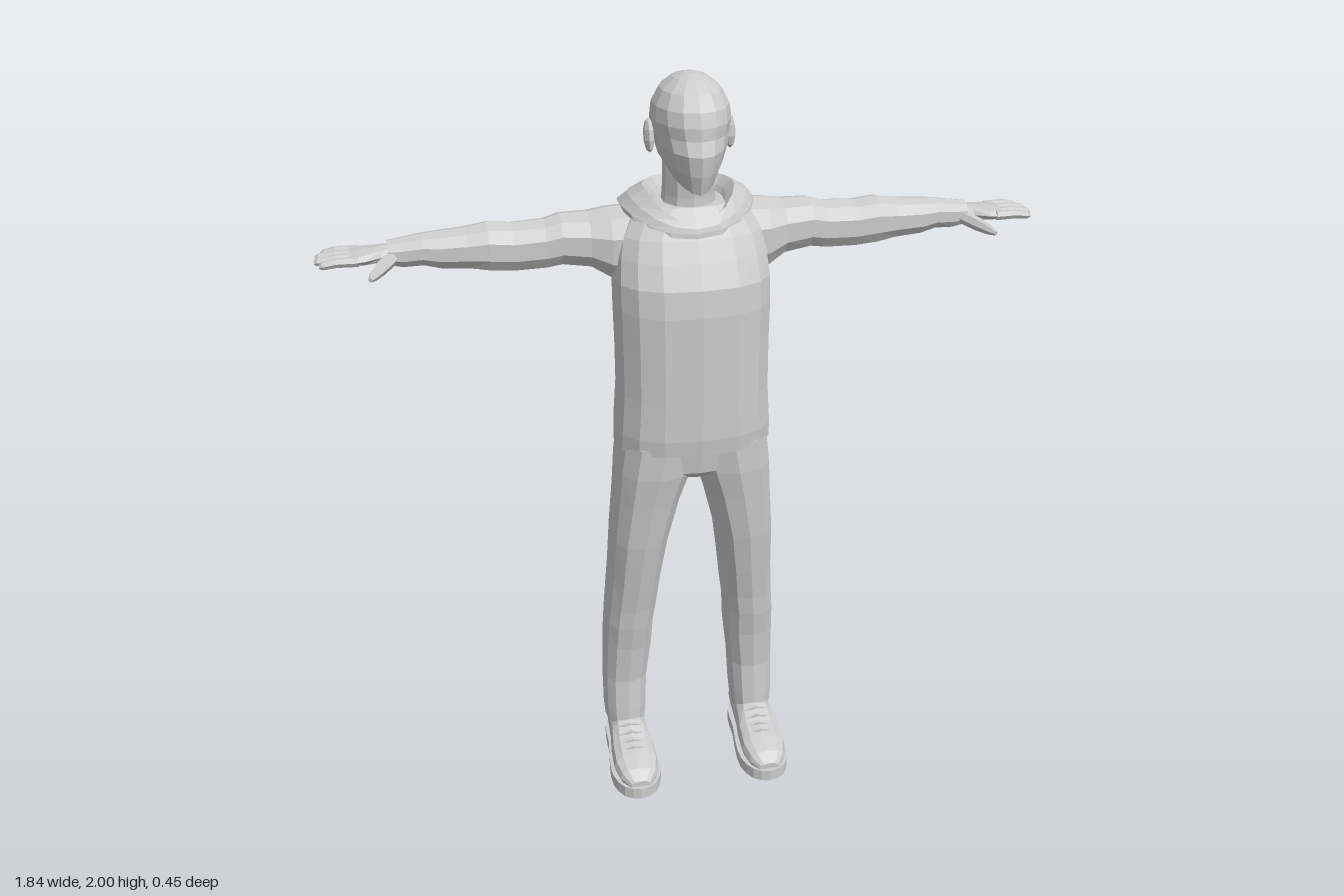
import * as THREE from 'three';

const grey = new THREE.MeshStandardMaterial({ color: 0xcccccc, flatShading: true });
grey.name = 'plain grey';

const pow = (v, p) => Math.sign(v) * Math.abs(v) ** p;

// Skin a list of equal-length rings (counter-clockwise seen from the far end), closing both ends.
function loft(rings) {
  const n = rings[0].length, pos = [];
  const tri = (...v) => v.forEach((p) => pos.push(p.x, p.y, p.z));
  const middle = (r) => r.reduce((s, p) => s.add(p), new THREE.Vector3()).divideScalar(n);
  const first = middle(rings[0]), last = middle(rings.at(-1));
  for (let j = 0; j < n; j++) {
    const k = (j + 1) % n;
    for (let i = 0; i + 1 < rings.length; i++) {
      const a = rings[i], b = rings[i + 1];
      tri(a[j], a[k], b[k]);
      tri(a[j], b[k], b[j]);
    }
    tri(first, rings[0][k], rings[0][j]);
    tri(last, rings.at(-1)[j], rings.at(-1)[k]);
  }
  const g = new THREE.BufferGeometry();
  g.setAttribute('position', new THREE.Float32BufferAttribute(pos, 3));
  g.computeVertexNormals();
  return g;
}

const around = (n, point) =>
  Array.from({ length: n }, (_, j) => {
    const a = (j / n) * Math.PI * 2;
    return new THREE.Vector3(...point(Math.cos(a), Math.sin(a)));
  });

// Upright body section: [y, xMin, xMax, zFront, zBack]
const upright = (n, p, rows) => loft(rows.map(([y, x0, x1, zF, zB]) => around(n, (c, s) => [
  (x0 + x1) / 2 + (x1 - x0) / 2 * pow(s, p), y, (zF + zB) / 2 + (zF - zB) / 2 * pow(c, p)])));

// Section along the arm: [x, yMin, yMax, zBack, zFront]
const sideways = (n, p, rows) => loft(rows.map(([x, y0, y1, zB, zF]) => around(n, (c, s) => [
  x, (y0 + y1) / 2 + (y1 - y0) / 2 * pow(c, p), (zB + zF) / 2 + (zF - zB) / 2 * pow(s, p)])));

// Thin round limb through a few points with a radius at each
function rod(points, radii, n = 6) {
  const pts = points.map((p) => new THREE.Vector3(...p));
  return loft(pts.map((p, i) => {
    const t = pts[Math.min(i + 1, pts.length - 1)].clone().sub(pts[Math.max(i - 1, 0)]).normalize();
    const u = new THREE.Vector3(0, 1, 0).cross(t).normalize(), v = t.clone().cross(u);
    return around(n, (c, s) => p.clone().addScaledVector(u, c * radii[i]).addScaledVector(v, s * radii[i]).toArray());
  }));
}

// Mirror across x = 0, keeping faces outward
function mirrored(geo) {
  const g = geo.index ? geo.toNonIndexed() : geo.clone();
  const p = g.attributes.position;
  const read = (i) => new THREE.Vector3().fromBufferAttribute(p, i);
  for (let i = 0; i < p.count; i += 3) {
    const [a, b, c] = [read(i), read(i + 1), read(i + 2)];
    [a, c, b].forEach((v, k) => p.setXYZ(i + k, -v.x, v.y, v.z));
  }
  g.computeVertexNormals();
  return g;
}

export function createModel() {
  const model = new THREE.Group();
  model.name = 'figure';
  const add = (name, geo) => {
    const m = new THREE.Mesh(geo, grey);
    m.name = name;
    model.add(m);
  };
  const pair = (name, geo) => {
    add(name + 'Left', geo);
    add(name + 'Right', mirrored(geo));
  };

  // Head: [y, half width, zFront, zBack, front tilt, narrowing of the face]
  add('head', loft([
    [1.765, 0.03, 0.09, -0.05, -0.03, 0.3], [1.768, 0.058, 0.122, -0.085, -0.035, 0.3],
    [1.80, 0.076, 0.136, -0.097, -0.02, 0.25], [1.84, 0.088, 0.143, -0.108, -0.01, 0.2],
    [1.865, 0.093, 0.129, -0.114, 0, 0.15], [1.895, 0.097, 0.128, -0.118, 0, 0.08],
    [1.93, 0.093, 0.117, -0.114, 0, 0.05], [1.965, 0.074, 0.09, -0.096, 0, 0],
    [1.99, 0.042, 0.05, -0.06, 0, 0], [2.0, 0.014, 0.016, -0.022, 0, 0],
  ].map(([y, w, zF, zB, tilt, k]) => around(14, (c, s) => [
    w * s * (1 - k * c), y + tilt * c, (zF + zB) / 2 + (zF - zB) / 2 * pow(c, 0.9)]))));
  const ear = new THREE.SphereGeometry(1, 7, 5).scale(0.014, 0.042, 0.025);
  pair('ear', ear.rotateX(-0.2).translate(0.1, 1.85, -0.01));
  add('neck', upright(10, 1, [
    [1.60, -0.08, 0.08, 0.05, -0.11], [1.70, -0.066, 0.066, 0.045, -0.095], [1.82, -0.064, 0.064, 0.05, -0.09]]));

  // Sweater body with a hem lip
  add('sweaterBody', upright(16, 0.78, [
    [1.06, 0.19, 0.14, -0.13], [1.045, 0.208, 0.152, -0.143], [1.09, 0.208, 0.158, -0.146],
    [1.2, 0.2, 0.16, -0.142], [1.33, 0.2, 0.16, -0.148], [1.43, 0.202, 0.16, -0.152],
    [1.5, 0.202, 0.152, -0.152], [1.56, 0.196, 0.122, -0.15], [1.61, 0.185, 0.095, -0.145],
    [1.65, 0.16, 0.07, -0.135], [1.68, 0.11, 0.05, -0.11],
  ].map(([y, w, zF, zB]) => [y, -w, w, zF, zB])));

  // Hood lying on the back: [half width, zFront, zBack, yFront, ySide, yBack]
  add('hood', loft([
    [0.14, 0.085, -0.13, 1.59, 1.62, 1.49], [0.165, 0.093, -0.175, 1.61, 1.655, 1.525],
    [0.172, 0.092, -0.222, 1.625, 1.672, 1.6], [0.15, 0.088, -0.185, 1.637, 1.695, 1.665],
    [0.115, 0.078, -0.135, 1.65, 1.718, 1.715], [0.095, 0.06, -0.12, 1.635, 1.695, 1.69],
    [0.07, 0.04, -0.1, 1.62, 1.65, 1.65],
  ].map(([w, zF, zB, yF, yS, yB]) => around(18, (c, s) => [
    w * pow(s, 0.9), yS + ((c > 0 ? yF : yB) - yS) * c * c, (zF + zB) / 2 + (zF - zB) / 2 * c]))));

  // Sleeves
  pair('sleeve', sideways(10, 0.88, [
    [0.10, 1.47, 1.67, -0.14, 0.05], [0.2, 1.48, 1.663, -0.142, 0.035], [0.25, 1.512, 1.652, -0.135, 0.016],
    [0.32, 1.522, 1.652, -0.125, 0.006], [0.36, 1.516, 1.641, -0.117, 0.002], [0.44, 1.514, 1.637, -0.115, 0],
    [0.5, 1.52, 1.645, -0.11, 0.002], [0.55, 1.53, 1.634, -0.113, -0.002], [0.62, 1.535, 1.628, -0.11, -0.008],
    [0.66, 1.546, 1.625, -0.102, -0.014], [0.71, 1.544, 1.618, -0.096, -0.02], [0.745, 1.552, 1.613, -0.09, -0.024]]));

  // Hands
  pair('palm', sideways(8, 0.8, [
    [0.72, 1.562, 1.605, -0.08, -0.03], [0.76, 1.565, 1.603, -0.088, -0.018],
    [0.80, 1.568, 1.6, -0.096, 0.004], [0.835, 1.571, 1.597, -0.096, 0.008]]));
  [[-0.086, -0.092, 0.905], [-0.059, -0.064, 0.918], [-0.031, -0.032, 0.92], [-0.004, -0.001, 0.908]]
    .forEach(([z0, z1, tip], i) => pair('finger' + (i + 1), rod(
      [[0.815, 1.584, z0], [0.868, 1.585, (z0 + z1) / 2], [tip - 0.008, 1.58, z1], [tip, 1.578, z1]],
      [0.013, 0.012, 0.01, 0.005])));
  pair('thumb', rod([[0.735, 1.576, -0.035], [0.762, 1.568, 0.01], [0.782, 1.562, 0.045], [0.79, 1.56, 0.064]],
    [0.018, 0.017, 0.012, 0.006]));

  // Trousers
  add('trouserSeat', upright(14, 0.75, [
    [0.95, -0.06, 0.06, 0.09, -0.09], [0.98, -0.17, 0.17, 0.125, -0.12], [1.07, -0.195, 0.195, 0.138, -0.128]]));
  pair('trouserLeg', upright(12, 0.8, [
    [0.11, 0.132, 0.246, 0.03, -0.125], [0.16, 0.127, 0.25, 0.028, -0.128], [0.26, 0.122, 0.25, 0.022, -0.134],
    [0.38, 0.108, 0.247, 0.036, -0.136], [0.46, 0.104, 0.243, 0.052, -0.132], [0.52, 0.096, 0.238, 0.06, -0.134],
    [0.62, 0.085, 0.23, 0.08, -0.134], [0.75, 0.066, 0.225, 0.103, -0.12], [0.88, 0.034, 0.215, 0.12, -0.122],
    [0.97, 0.002, 0.21, 0.134, -0.13], [1.06, -0.02, 0.2, 0.14, -0.13]]));

  // Shoes: soles, uppers, laces
  const footX = 0.188;
  const outline = [[0, 0.225], [0.045, 0.205], [0.069, 0.15], [0.068, 0.08], [0.058, 0], [0.055, -0.08], [0.035, -0.12]];
  const around2D = [...outline, ...outline.slice(1).reverse().map(([x, z]) => [-x, z])];
  const curve = new THREE.CatmullRomCurve3(around2D.map(([x, z]) => new THREE.Vector3(x, -z, 0)), true);
  const soleShape = new THREE.Shape(curve.getPoints(26).slice(0, -1).map((p) => new THREE.Vector2(p.x, p.y)));
  const sole = new THREE.ExtrudeGeometry(soleShape, { depth: 0.034, bevelEnabled: false });
  pair('sole', sole.rotateX(-Math.PI / 2).translate(footX, 0, 0));
  pair('shoeUpper', loft([
    [-0.122, 0.03, 0.1], [-0.108, 0.046, 0.125], [-0.04, 0.052, 0.138], [0.03, 0.056, 0.132], [0.08, 0.062, 0.108],
    [0.14, 0.064, 0.092], [0.185, 0.052, 0.076], [0.212, 0.028, 0.052],
  ].map(([z, w, top]) => around(12, (c, s) => [
    footX + w * pow(c, 0.75), (0.02 + top) / 2 + (top - 0.02) / 2 * pow(s, 0.85), z]))));
  [[0.04, 0.127], [0.064, 0.116], [0.088, 0.106], [0.112, 0.1]].forEach(([z, y], i) => pair('lace' + (i + 1), rod(
    [[footX - 0.036, y - 0.012, z], [footX, y + 0.003, z + 0.006], [footX + 0.036, y - 0.012, z]],
    [0.005, 0.005, 0.005], 5)));

  return model;
}
